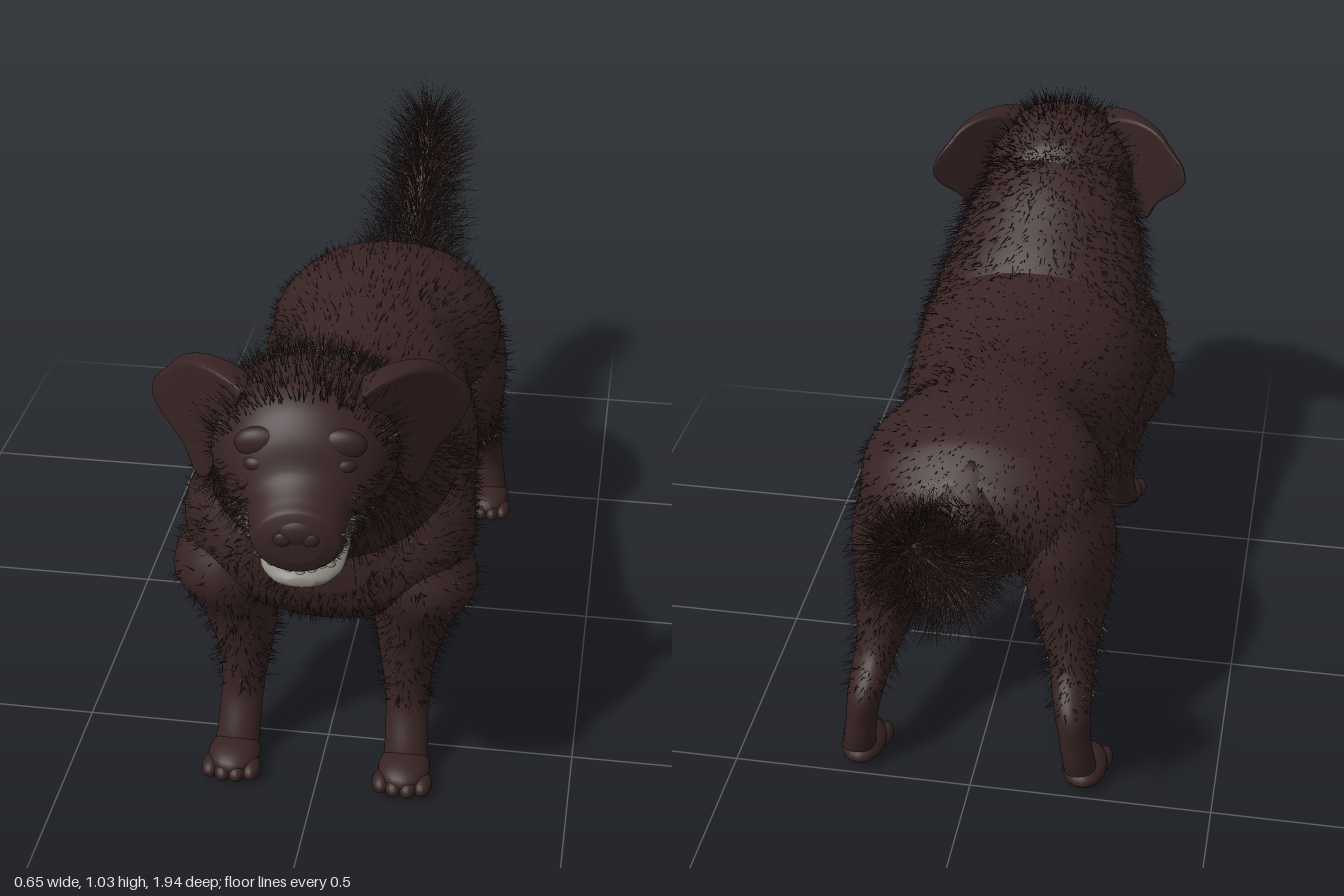
import * as THREE from 'three';

const coat = new THREE.MeshStandardMaterial({ color: 0x372323 });
coat.name = 'darkBrownCoat';
const hair = new THREE.MeshStandardMaterial({ color: 0x332020, side: THREE.DoubleSide });
hair.name = 'brownHair';
const dark = new THREE.MeshStandardMaterial({ color: 0x1c1212 });
dark.name = 'darkMouth';
const pale = new THREE.MeshStandardMaterial({ color: 0x8f8b83, side: THREE.DoubleSide });
pale.name = 'paleGrey';

let seed = 7;
const rnd = () => (seed = (seed * 16807) % 2147483647) / 2147483647;

function add(parent, name, geometry, material) {
  const mesh = new THREE.Mesh(geometry, material);
  mesh.name = name;
  parent.add(mesh);
  return mesh;
}

// Smooth skin through elliptical sections [x, y, z, halfWidth, halfDepth].
// Rings lie at a fixed tilt, or square to the path when tilt is null.
function loft(sections, tilt = null, sides = 32, steps = 6) {
  const mid = new THREE.CatmullRomCurve3(sections.map(s => new THREE.Vector3(s[0], s[1], s[2])));
  const rad = new THREE.CatmullRomCurve3(sections.map(s => new THREE.Vector3(s[3], s[4], 0)));
  const n = (sections.length - 1) * steps;
  const run = mid.getPoint(1).sub(mid.getPoint(0));
  const flip = tilt !== null && run.z * Math.cos(tilt) - run.y * Math.sin(tilt) < 0;
  const pos = [], index = [];
  for (let i = -1; i <= n + 1; i++) {
    const t = Math.min(Math.max(i / n, 0), 1);
    const c = mid.getPoint(t), r = rad.getPoint(t), d = mid.getTangent(t);
    const k = i < 0 || i > n ? 0 : 1;
    const l = Math.hypot(d.y, d.z);
    const vy = tilt === null ? d.z / l : Math.cos(tilt);
    const vz = tilt === null ? -d.y / l : Math.sin(tilt);
    for (let j = 0; j <= sides; j++) {
      const a = (j % sides) / sides * Math.PI * 2;
      const u = k * r.x * Math.cos(a), v = k * r.y * Math.sin(a);
      pos.push(c.x + u, c.y + v * vy, c.z + v * vz);
    }
  }
  const w = sides + 1;
  for (let i = 0; i < n + 2; i++) {
    for (let j = 0; j < sides; j++) {
      const a = i * w + j, b = a + 1, c = a + w, e = c + 1;
      if (flip) index.push(a, c, b, b, c, e);
      else index.push(a, b, c, b, e, c);
    }
  }
  const g = new THREE.BufferGeometry();
  g.setAttribute('position', new THREE.Float32BufferAttribute(pos, 3));
  g.setIndex(index);
  g.computeVertexNormals();
  return g;
}

// Section given by its bottom and top heights at a given z.
const slab = ([z, low, high, half, x = 0]) => [x, (low + high) / 2, z, half, (high - low) / 2];

// Thin strands scattered over a skin, leaning along a direction.
function fur(g, count, length, lean, keep = () => true) {
  const p = g.attributes.position, nm = g.attributes.normal, pos = [];
  const a = new THREE.Vector3(), b = new THREE.Vector3(), n = new THREE.Vector3(), s = new THREE.Vector3();
  for (let made = 0, tries = 0; made < count && tries < count * 40; tries++) {
    const f = Math.floor(rnd() * g.index.count / 3) * 3;
    const i = g.index.getX(f);
    a.fromBufferAttribute(p, i).lerp(b.fromBufferAttribute(p, g.index.getX(f + 1)), rnd());
    a.lerp(b.fromBufferAttribute(p, g.index.getX(f + 2)), rnd());
    n.fromBufferAttribute(nm, i);
    if (!keep(a, n)) continue;
    n.x += (rnd() - 0.5) * 0.7 + lean[0];
    n.y += (rnd() - 0.5) * 0.7 + lean[1];
    n.z += (rnd() - 0.5) * 0.7 + lean[2];
    n.normalize();
    s.set(rnd() - 0.5, rnd() - 0.5, rnd() - 0.5).cross(n).normalize().multiplyScalar(0.0012);
    b.copy(a).addScaledVector(n, length * (0.3 + 0.7 * rnd()));
    pos.push(a.x - s.x, a.y - s.y, a.z - s.z, a.x + s.x, a.y + s.y, a.z + s.z, b.x, b.y, b.z);
    made++;
  }
  const out = new THREE.BufferGeometry();
  out.setAttribute('position', new THREE.Float32BufferAttribute(pos, 3));
  out.computeVertexNormals();
  return out;
}

function ball(parent, name, x, y, z, rx, ry, rz, material = coat) {
  const m = add(parent, name, new THREE.SphereGeometry(1, 20, 14), material);
  m.position.set(x, y, z);
  m.scale.set(rx, ry, rz);
}

// Foot with four toes; z is the heel end.
function paw(parent, name, x, z, half, length) {
  const g = new THREE.Group();
  g.name = name;
  ball(g, 'pad', x, 0.03, z + length * 0.45, half * 0.9, 0.03, length * 0.5);
  for (let i = 0; i < 4; i++) {
    const k = (i - 1.5) / 1.5, inner = 1 - Math.abs(k);
    ball(g, 'toe', x + k * half * 0.7, 0.019, z + length * (0.72 + 0.1 * inner),
      half * 0.33, 0.019, length * 0.24);
  }
  parent.add(g);
}

export function createModel() {
  const dog = new THREE.Group();
  dog.name = 'dog';

  // Trunk, from rump to chest
  const trunk = loft([
    [-0.44, 0.53, 0.645, 0.08, 0.02], [-0.41, 0.47, 0.685, 0.17, 0.02], [-0.33, 0.43, 0.735, 0.23, 0.02],
    [-0.2, 0.41, 0.76, 0.25, 0.02], [-0.05, 0.38, 0.755, 0.2, 0.015], [0.1, 0.335, 0.735, 0.24, 0.012],
    [0.25, 0.315, 0.745, 0.26, 0.01], [0.4, 0.305, 0.77, 0.27, 0.008], [0.5, 0.31, 0.74, 0.285, 0.006],
    [0.58, 0.35, 0.68, 0.25, 0.005], [0.625, 0.4, 0.6, 0.18, 0.005], [0.64, 0.45, 0.56, 0.1, 0.005]].map(slab), 0, 48);
  add(dog, 'trunk', trunk, coat);
  add(dog, 'trunkFur', fur(trunk, 5000, 0.035, [0, -0.3, -0.9]), hair);

  // Neck
  const neck = loft([[0.01, 0.52, 0.34, 0.26, 0.19], [0.008, 0.65, 0.5, 0.24, 0.19],
    [0.005, 0.76, 0.61, 0.2, 0.165], [0.003, 0.84, 0.7, 0.155, 0.13]], null, 40);
  add(dog, 'neck', neck, coat);
  add(dog, 'neckFur', fur(neck, 4000, 0.055, [0, -0.6, -0.5]), hair);

  // Head, turned slightly to its left
  const head = new THREE.Group();
  head.name = 'headGroup';
  head.rotation.y = 0.09;
  head.position.x = -0.061;
  dog.add(head);
  const skull = loft([[0.57, 0.8, 0.91, 0.06], [0.62, 0.72, 0.955, 0.14], [0.7, 0.69, 0.985, 0.17],
    [0.78, 0.69, 0.985, 0.165], [0.84, 0.695, 0.96, 0.14], [0.875, 0.695, 0.92, 0.112],
    [0.9, 0.695, 0.865, 0.09], [0.935, 0.695, 0.838, 0.084], [0.957, 0.705, 0.825, 0.074],
    [0.967, 0.73, 0.8, 0.045]].map(slab), 0, 40);
  add(head, 'skull', skull, coat);
  add(head, 'crownFur', fur(skull, 1300, 0.055, [0, 0.1, -0.5], (p, n) => p.z < 0.83 && n.y > 0.3), hair);
  add(head, 'cheekFur', fur(skull, 900, 0.035, [0, -0.4, -0.8],
    (p, n) => p.z < 0.9 && p.z > 0.7 && n.y < 0.2), hair);
  add(head, 'whiskers', fur(skull, 220, 0.025, [0, -0.2, -0.8],
    (p, n) => p.z > 0.83 && p.z < 0.95 && p.y < 0.79 && Math.abs(n.x) > 0.7), pale);
  ball(head, 'nose', 0, 0.785, 0.95, 0.045, 0.03, 0.022);
  const jaw = loft([[0.74, 0.655, 0.705, 0.08], [0.79, 0.64, 0.695, 0.082], [0.86, 0.628, 0.676, 0.073],
    [0.895, 0.63, 0.668, 0.05], [0.912, 0.642, 0.66, 0.022]].map(slab), 0);
  add(head, 'lowerJaw', jaw, pale);
  ball(head, 'mouthHollow', 0, 0.69, 0.835, 0.062, 0.026, 0.075, dark);
  for (let i = -4; i <= 4; i++) {
    const a = i * 0.3;
    const tooth = add(head, 'tooth', new THREE.ConeGeometry(0.009, Math.abs(i) === 3 ? 0.036 : 0.018, 8), pale);
    tooth.position.set(Math.sin(a) * 0.066, 0.674 + Math.abs(i) * 0.003, 0.83 + Math.cos(a) * 0.068);
  }

  // Ear flap swept outward and back, thick at the root and thin at the tip
  const flap = new THREE.Shape();
  flap.moveTo(0.11, 0.965);
  flap.bezierCurveTo(0.16, 0.985, 0.21, 0.975, 0.235, 0.945);
  flap.bezierCurveTo(0.25, 0.92, 0.285, 0.9, 0.282, 0.868);
  flap.bezierCurveTo(0.27, 0.825, 0.225, 0.82, 0.21, 0.77);
  flap.bezierCurveTo(0.2, 0.74, 0.185, 0.745, 0.172, 0.785);
  flap.bezierCurveTo(0.16, 0.85, 0.13, 0.9, 0.11, 0.965);
  const earGeometry = new THREE.ExtrudeGeometry(flap, {
    depth: 0.012, bevelEnabled: true, bevelSize: 0.008, bevelThickness: 0.008, bevelSegments: 4, curveSegments: 10 });
  const ep = earGeometry.attributes.position;
  for (let i = 0; i < ep.count; i++) {
    const x = ep.getX(i), thick = 0.7 + 14 * Math.max(0.27 - x, 0);
    ep.setZ(i, (ep.getZ(i) - 0.006) * thick + 0.755 - (x - 0.12) * 0.75);
  }
  earGeometry.computeVertexNormals();

  for (const side of [1, -1]) {
    const name = side > 0 ? 'left' : 'right';
    const ear = add(head, name + 'Ear', earGeometry, coat);
    if (side < 0) {
      // Mirrored copy with its corner order restored
      const g = earGeometry.clone().scale(-1, 1, 1), p = g.attributes.position;
      for (let i = 0; i < p.count; i += 3) {
        const q = [p.getX(i), p.getY(i), p.getZ(i)];
        p.setXYZ(i, p.getX(i + 1), p.getY(i + 1), p.getZ(i + 1));
        p.setXYZ(i + 1, ...q);
      }
      g.computeVertexNormals();
      ear.geometry = g;
    }
    ball(head, name + 'Brow', side * 0.07, 0.9, 0.855, 0.045, 0.03, 0.02);
    ball(head, name + 'Eyelid', side * 0.075, 0.868, 0.868, 0.024, 0.016, 0.018);
    ball(head, name + 'NoseWing', side * 0.024, 0.775, 0.962, 0.018, 0.015, 0.01);

    // Legs
    const front = loft([[0.15, 0.56, 0.47, 0.09, 0.11], [0.195, 0.43, 0.52, 0.105, 0.11],
      [0.175, 0.33, 0.505, 0.08, 0.09], [0.165, 0.24, 0.51, 0.057, 0.068], [0.167, 0.14, 0.537, 0.043, 0.042],
      [0.17, 0.07, 0.572, 0.043, 0.038], [0.172, 0.03, 0.59, 0.046, 0.035]]
      .map(([x, ...s]) => [x * side, ...s]), Math.PI / 2, 28);
    add(dog, name + 'FrontLeg', front, coat);
    add(dog, name + 'FrontLegFur', fur(front, 700, 0.04, [0, -0.4, -0.6], p => p.y > 0.15), hair);
    paw(dog, name + 'FrontPaw', side * 0.172, 0.56, 0.058, 0.13);

    const hind = loft([[0.13, 0.63, -0.27, 0.09, 0.12], [0.165, 0.5, -0.265, 0.105, 0.16],
      [0.18, 0.4, -0.268, 0.09, 0.15], [0.19, 0.33, -0.31, 0.07, 0.115], [0.2, 0.27, -0.355, 0.05, 0.09],
      [0.215, 0.19, -0.45, 0.037, 0.057], [0.225, 0.11, -0.465, 0.033, 0.036], [0.235, 0.03, -0.45, 0.035, 0.035]]
      .map(([x, ...s]) => [x * side + 0.01, ...s]), Math.PI / 2, 28);
    add(dog, name + 'HindLeg', hind, coat);
    add(dog, name + 'HindLegFur', fur(hind, 900, 0.04, [0, -0.4, -0.5], p => p.y > 0.2), hair);
    add(dog, name + 'HockTuft', fur(hind, 60, 0.025, [0, -0.5, 0], p => p.y > 0.21 && p.y < 0.28), pale);
    paw(dog, name + 'HindPaw', side * 0.235 + 0.005, -0.49, 0.052, 0.14);
  }

  // Raised tail with a long brush
  const tail = loft([[0.015, 0.66, -0.34, 0.085, 0.06], [0.022, 0.6, -0.45, 0.065, 0.055],
    [0.027, 0.575, -0.54, 0.055, 0.05], [0.03, 0.64, -0.64, 0.05, 0.043],
    [0.035, 0.73, -0.74, 0.042, 0.035], [0.037, 0.82, -0.83, 0.022, 0.018]], null, 24);
  add(dog, 'tail', tail, coat);
  add(dog, 'tailFur', fur(tail, 3800, 0.13, [0, 0.2, -0.6], p => p.z < -0.44), hair);
  return dog;
}
